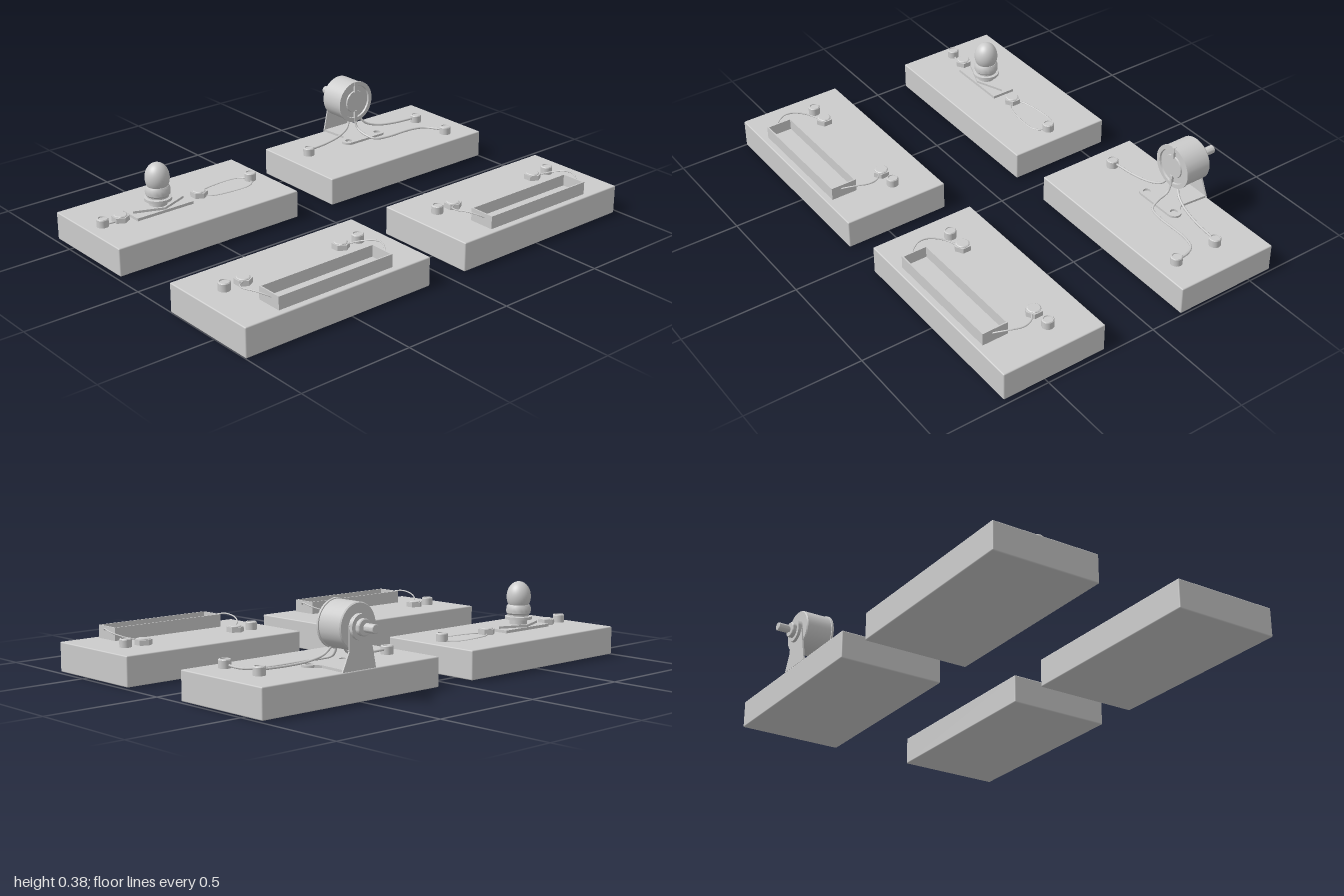
import * as THREE from 'three';
import { RoundedBoxGeometry } from 'three/addons/geometries/RoundedBoxGeometry.js';
import { toCreasedNormals } from 'three/addons/utils/BufferGeometryUtils.js';

const material = new THREE.MeshStandardMaterial({ color: 0xcccccc });
const TOP = 0.125; // upper face of the boards

function add(parent, name, geometry, x = 0, y = 0, z = 0) {
  const mesh = new THREE.Mesh(geometry, material);
  mesh.name = name;
  mesh.position.set(x, y, z);
  parent.add(mesh);
  return mesh;
}

const box = (w, h, d) => new THREE.BoxGeometry(w, h, d);

// Turned part from [radius, height] pairs
const turned = (pairs, sides = 32) => toCreasedNormals(
  new THREE.LatheGeometry(pairs.map(([r, h]) => new THREE.Vector2(r, h)), sides), 0.6);

function wire(parent, name, points, radius = 0.004) {
  const curve = new THREE.CatmullRomCurve3(points.map((p) => new THREE.Vector3(...p)));
  add(parent, name, new THREE.TubeGeometry(curve, 48, radius, 8));
}

function board(parent, x, z, bottom = 0) {
  const h = TOP - bottom;
  add(parent, 'board', new RoundedBoxGeometry(0.895, h, 0.467, 2, 0.005), x, bottom + h / 2, z);
}

// Round terminal post with a chamfered rim and a shallow recess
function post(parent, x, z) {
  add(parent, 'terminalPost', turned([
    [0.025, 0], [0.025, 0.031], [0.022, 0.035], [0.018, 0.035], [0.017, 0.031], [0, 0.031]], 20), x, TOP, z);
}

// Hexagonal nut with a low round stud
function nut(parent, x, z) {
  const hex = new THREE.CylinderGeometry(0.037, 0.037, 0.022, 6).toNonIndexed();
  hex.computeVertexNormals();
  add(parent, 'hexNut', hex, x, TOP + 0.011, z);
  add(parent, 'nutCap', turned([[0.028, 0], [0.028, 0.002], [0.024, 0.005], [0, 0.005]], 20), x, TOP + 0.022, z);
}

// Board with an open cell tray and a bowed wire at each end
function trayModule(cx) {
  const g = new THREE.Group();
  g.name = 'cellHolder';
  board(g, 0, 0.455);
  const w = 0.55, d = 0.115, h = 0.055, t = 0.006, z = 0.603;
  add(g, 'trayFloor', box(w, t, d), 0, TOP + t / 2, z);
  for (const s of [-1, 1]) {
    add(g, 'traySide', box(w, h, t), 0, TOP + h / 2, z + s * (d - t) / 2);
    add(g, 'trayEnd', box(t, h, d - 2 * t), s * (w - t) / 2, TOP + h / 2, z);
    nut(g, s * 0.238, 0.4);
    post(g, s * 0.326, 0.4);
    wire(g, 'trayWire', [
      [s * 0.25, 0.143, 0.42], [s * 0.295, 0.155, 0.455], [s * 0.32, 0.17, 0.51],
      [s * 0.313, 0.178, 0.56], [s * 0.29, 0.171, 0.6], [s * 0.27, 0.16, 0.62]], 0.003);
  }
  g.position.x = cx;
  return g;
}

// Board with a lamp in a screw holder
function lampModule() {
  const g = new THREE.Group();
  g.name = 'lampBoard';
  const z = -0.37, x = -0.645;
  board(g, -0.538, -0.377, 0.004);
  add(g, 'holderPlate', box(0.275, 0.012, 0.107), x, TOP + 0.006, z);
  // Tapered contact strip under the socket
  const strip = new THREE.Shape([[-0.125, 0], [0, 0.05], [0.125, 0], [0, -0.05]].map((p) => new THREE.Vector2(...p)));
  const stripGeometry = new THREE.ExtrudeGeometry(strip, { depth: 0.01, bevelEnabled: false });
  stripGeometry.rotateX(-Math.PI / 2);
  add(g, 'contactStrip', stripGeometry, x, TOP + 0.012, z);
  add(g, 'socket', turned([
    [0.038, 0], [0.038, 0.03], [0.058, 0.033], [0.058, 0.045], [0.046, 0.047],
    [0.046, 0.053], [0.052, 0.06], [0.053, 0.07], [0.052, 0.086], [0.046, 0.096], [0, 0.096]]), x, TOP + 0.01, z);
  const glass = new THREE.SphereGeometry(0.052, 32, 24);
  glass.scale(1, 1.25, 1);
  add(g, 'glassBulb', glass, x, 0.265, z);
  for (const nx of [-0.83, -0.44]) nut(g, nx, z);
  for (const px of [-0.915, -0.17]) post(g, px, z);
  wire(g, 'shortWire', [[-0.91, 0.13, z], [-0.87, 0.132, z + 0.01], [-0.83, 0.13, z]]);
  for (const s of [-1, 1]) {
    wire(g, 'lampWire', [[-0.44, 0.13, z], [-0.4, 0.126, z + s * 0.035], [-0.32, 0.125, z + s * 0.052],
      [-0.22, 0.125, z + s * 0.052], [-0.19, 0.127, z + s * 0.035], [-0.175, 0.13, z]], 0.0035);
  }
  return g;
}

// Board with a motor on an angled bracket
function motorModule() {
  const g = new THREE.Group();
  g.name = 'motorBoard';
  const x = 0.523, y = 0.288;
  board(g, 0.547, -0.377, 0.004);

  // Casing, rear collars and shaft turned about z, front facing +z
  const motor = new THREE.Group();
  motor.name = 'motor';
  motor.position.set(x, y, 0);
  g.add(motor);
  const along = (name, pairs, sides) => {
    add(motor, name, turned(pairs, sides).rotateX(Math.PI / 2));
  };
  along('casing', [
    [0, -0.603], [0.088, -0.603], [0.092, -0.598], [0.092, -0.488], [0.096, -0.487],
    [0.096, -0.478], [0.078, -0.478], [0.076, -0.486], [0.052, -0.486], [0.05, -0.48], [0, -0.48]], 48);
  along('rearCollar', [
    [0, -0.64], [0.03, -0.64], [0.033, -0.637], [0.033, -0.622], [0.05, -0.622], [0.05, -0.6]], 32);
  along('shaft', [
    [0, -0.696], [0.016, -0.696], [0.018, -0.694], [0.018, -0.648], [0.011, -0.648], [0.011, -0.63]], 20);
  for (const s of [-1, 1]) {
    add(motor, 'brushTab', box(0.014, 0.052, 0.012), 0, s * 0.07, -0.481);
  }

  // Foot plate with two screw holes
  const foot = new THREE.Shape();
  foot.moveTo(-0.08, 0.605);
  foot.lineTo(-0.07, 0.48);
  foot.lineTo(-0.095, 0.455);
  foot.absarc(-0.088, 0.427, 0.03, Math.PI / 2, Math.PI * 1.5, false);
  foot.absarc(0.088, 0.427, 0.03, -Math.PI / 2, Math.PI / 2, false);
  foot.lineTo(0.07, 0.48);
  foot.lineTo(0.08, 0.605);
  for (const s of [-1, 1]) {
    foot.holes.push(new THREE.Path().absarc(s * 0.086, 0.427, 0.016, 0, Math.PI * 2, true));
  }
  const footGeometry = new THREE.ExtrudeGeometry(foot, { depth: 0.01, bevelEnabled: false, curveSegments: 16 });
  footGeometry.rotateX(-Math.PI / 2);
  add(g, 'bracketFoot', footGeometry, x, TOP, 0);

  // Tapered upright behind the casing
  const upright = new THREE.Shape();
  upright.moveTo(-0.085, TOP);
  upright.lineTo(0.085, TOP);
  upright.lineTo(0.05, 0.2);
  upright.lineTo(0.05, y);
  upright.absarc(0, y, 0.05, 0, Math.PI, false);
  upright.closePath();
  add(g, 'bracketUpright', new THREE.ExtrudeGeometry(upright, { depth: 0.007, bevelEnabled: false }), x, 0, -0.609);

  // Terminals and their leads
  for (const [px, pz] of [[0.205, -0.43], [0.855, -0.43], [0.855, -0.23]]) post(g, px, pz);
  for (const s of [-1, 1]) {
    wire(g, 'sideLead', [[x + s * 0.03, 0.205, -0.49], [x + s * 0.055, 0.175, -0.476],
      [x + s * 0.11, 0.155, -0.46], [x + s * 0.2, 0.146, -0.444], [x + s * 0.315, 0.145, -0.432]], 0.005);
  }
  wire(g, 'longLead', [[0.52, 0.21, -0.485], [0.522, 0.165, -0.465], [0.525, 0.145, -0.41], [0.545, 0.135, -0.368],
    [0.6, 0.131, -0.357], [0.76, 0.131, -0.355], [0.82, 0.131, -0.335], [0.846, 0.133, -0.29], [0.855, 0.14, -0.235]], 0.005);
  return g;
}

export function createModel() {
  const model = new THREE.Group();
  model.name = 'circuitBoards';
  model.add(trayModule(-0.5525), trayModule(0.5315), lampModule(), motorModule());
  return model;
}
